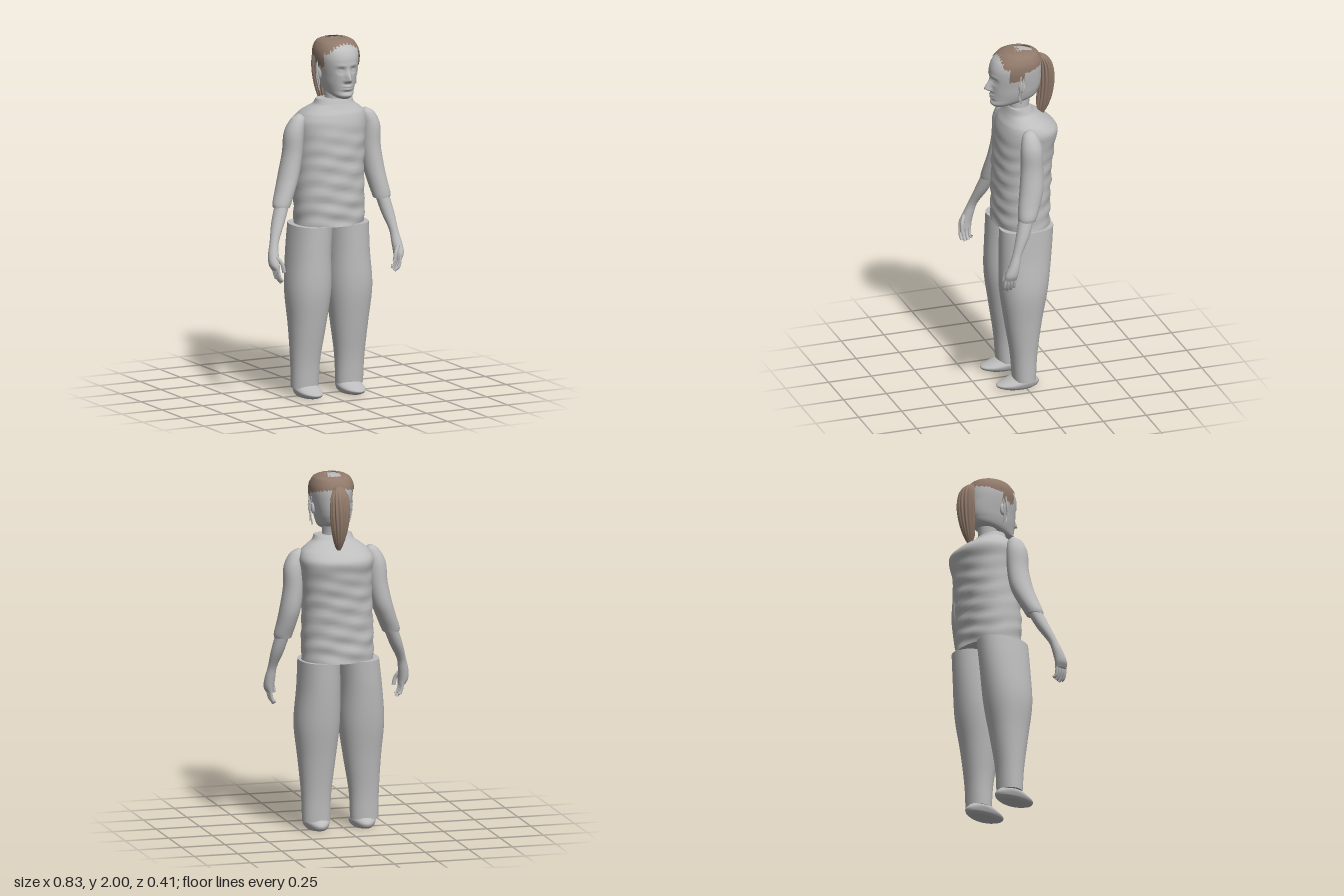
import * as THREE from 'three';

const grey = new THREE.MeshStandardMaterial({ color: 0xbdbdbd, side: THREE.DoubleSide });
grey.name = 'plain grey';
const brown = new THREE.MeshStandardMaterial({ color: 0x917a6b, side: THREE.DoubleSide });
brown.name = 'hair brown';

// Smooth closed body through level rings [y, centreX, halfWidth, zFront, zBack], lowest first.
// n: squareness, warp: moves a vertex, keep: picks the faces by their centre.
function loft(rings, { seg = 32, sub = 5, n = 2, warp, keep } = {}) {
  const mid = new THREE.CatmullRomCurve3(rings.map(r => new THREE.Vector3(r[1], r[0], (r[3] + r[4]) / 2)));
  const size = new THREE.CatmullRomCurve3(rings.map(r => new THREE.Vector3(r[2], r[0], (r[3] - r[4]) / 2)));
  const count = (rings.length - 1) * sub;
  const rows = [[0, 0], [0, 1]];
  for (let i = 0; i <= count; i++) rows.push([i / count, 1]);
  rows.push([1, 1], [1, 0]);
  const pos = [], index = [];
  const power = v => Math.sign(v) * Math.abs(v) ** (2 / n);
  for (const [t, scale] of rows) {
    const c = mid.getPoint(t), s = size.getPoint(t);
    for (let j = 0; j < seg; j++) {
      const a = j / seg * Math.PI * 2;
      const v = new THREE.Vector3(
        c.x + Math.max(s.x, 0) * scale * power(Math.sin(a)), c.y,
        c.z + Math.max(s.z, 0) * scale * power(Math.cos(a)));
      if (warp && scale) warp(v, a, t);
      pos.push(v.x, v.y, v.z);
    }
  }
  const face = (...ids) => {
    const m = [0, 1, 2].map(k => ids.reduce((sum, i) => sum + pos[i * 3 + k], 0) / 3);
    if (!keep || keep(...m)) index.push(...ids);
  };
  for (let i = 0; i < rows.length - 1; i++) {
    for (let j = 0; j < seg; j++) {
      const k = (j + 1) % seg, a = i * seg + j, b = i * seg + k;
      face(a, b, a + seg);
      face(b, b + seg, a + seg);
    }
  }
  const g = new THREE.BufferGeometry();
  g.setAttribute('position', new THREE.Float32BufferAttribute(pos, 3));
  g.setIndex(index);
  g.computeVertexNormals();
  return g;
}

function part(parent, name, geometry, material = grey) {
  const m = new THREE.Mesh(geometry, material);
  m.name = name;
  parent.add(m);
  return m;
}

function tube(points, radius) {
  const curve = new THREE.CatmullRomCurve3(points.map(p => new THREE.Vector3(...p)));
  return new THREE.TubeGeometry(curve, 10, radius, 8);
}

const MID = 0.065; // centre line of head and neck
const bump = (d, s) => Math.exp(-d * d / (s * s));

// Head rings, grown outward by d for the hair
const headRings = d => [
  [1.673, 0.03, 0.15, 0.06], [1.69, 0.057, 0.166, 0], [1.72, 0.077, 0.162, -0.085],
  [1.76, 0.09, 0.164, -0.11], [1.8, 0.098, 0.167, -0.12], [1.85, 0.108, 0.17, -0.122],
  [1.9, 0.114, 0.168, -0.121], [1.94, 0.11, 0.15, -0.113], [1.97, 0.091, 0.115, -0.09],
  [1.986, 0.06, 0.078, -0.05], [1.993, 0.008, 0.022, 0.006],
].map(([y, w, f, b]) => [y + (y > 1.95 ? d * 0.8 : 0), MID, w + d, f + d * 0.4, b - d]);

// Nose, eye sockets, eyes, lips and chin
function faceShape(v) {
  if (v.z < 0.06) return;
  const x = v.x - MID, y = v.y, ax = Math.abs(x);
  v.z += 0.038 * bump(x, 0.014) * bump(y - 1.782, y > 1.782 ? 0.04 : 0.013)
    + 0.008 * bump(ax - 0.016, 0.009) * bump(y - 1.775, 0.01)
    - 0.014 * bump(ax - 0.036, 0.02) * bump(y - 1.835, 0.016)
    + 0.008 * bump(ax - 0.038, 0.012) * bump(y - 1.833, 0.007)
    + 0.004 * bump(ax - 0.035, 0.03) * bump(y - 1.862, 0.009)
    + 0.010 * bump(x, 0.026) * (bump(y - 1.744, 0.007) + bump(y - 1.728, 0.007))
    - 0.005 * bump(x, 0.03) * bump(y - 1.712, 0.008);
}

// Hairline with temples, ragged edge and a bare patch on the crown
function isHair(x, y, z) {
  const jag = 0.006 * Math.sin(x * 310 + z * 90) + 0.004 * Math.sin(z * 420);
  const dx = x - MID;
  if (y > 1.96 && Math.abs(dx) < 0.033 + jag && z > -0.068 + jag && z < 0.018 + jag * 2) return false;
  if (z > 0.122 + jag * 0.6) return false;
  if (z > 0.09) return y > 1.925 + jag;
  if (z > 0.012) return y > 1.85 + jag;
  return y > 1.895 - z * 0.25 + jag * 0.5;
}

function buildHead() {
  const head = new THREE.Group();
  head.name = 'head';
  part(head, 'face', loft(headRings(0), { seg: 96, sub: 8, n: 2.15, warp: faceShape }));
  part(head, 'hair', loft(headRings(0.009), { seg: 96, sub: 8, n: 2.15, keep: isHair }), brown);
  part(head, 'neck', loft([
    [1.58, MID, 0.062, 0.06, -0.06], [1.66, MID, 0.055, 0.06, -0.055], [1.75, MID, 0.058, 0.07, -0.07],
  ]));
  part(head, 'ponytail', loft([
    [1.575, MID, 0.005, -0.122, -0.135], [1.64, MID, 0.028, -0.105, -0.17],
    [1.72, MID, 0.044, -0.108, -0.193], [1.82, MID, 0.053, -0.113, -0.2],
    [1.9, MID, 0.045, -0.115, -0.183], [1.935, MID, 0.028, -0.105, -0.155], [1.955, MID, 0.015, -0.08, -0.115],
  ], {
    seg: 72, sub: 6,
    warp: (v, a, t) => {
      const r = 0.08 * Math.cos(a * 14 + t * 5);
      v.x += (v.x - MID) * r;
      v.z += (v.z + 0.155) * r;
    },
  }), brown);
  for (const s of [-1, 1]) {
    const ear = part(head, 'ear', new THREE.SphereGeometry(1, 16, 12));
    ear.scale.set(0.012, 0.034, 0.02);
    ear.position.set(MID + s * 0.103, 1.805, 0.02);
    ear.rotation.y = s * -0.3;
    // Loose strands beside the cheeks
    part(head, 'strand', tube([[MID + s * 0.117, 1.88, 0.03], [MID + s * 0.124, 1.81, 0.035],
      [MID + s * 0.112, 1.76, 0.038], [MID + s * 0.116, 1.73, 0.035]], 0.005));
    part(head, 'strand', tube([[MID + s * 0.115, 1.87, 0.015], [MID + s * 0.12, 1.79, 0.02],
      [MID + s * 0.105, 1.71, 0.025]], 0.004));
  }
  return head;
}

// Shirt body with soft cloth folds
function buildTorso() {
  return loft([
    [0.955, 0.04, 0.2, 0.138, -0.168], [1.1, 0.04, 0.2, 0.138, -0.17], [1.3, 0.045, 0.195, 0.135, -0.18],
    [1.45, 0.053, 0.2, 0.13, -0.195], [1.53, 0.056, 0.207, 0.122, -0.206], [1.575, 0.06, 0.188, 0.108, -0.165],
    [1.605, 0.06, 0.153, 0.09, -0.12], [1.63, 0.06, 0.118, 0.078, -0.08], [1.66, 0.06, 0.107, 0.066, -0.056],
  ], {
    seg: 72, sub: 9, n: 2.25,
    warp: (v, a) => {
      const f = 0.004 * Math.min(1, Math.max(0, (1.56 - v.y) * 4))
        * (Math.sin(v.y * 75 + 2.2 * Math.sin(a * 2)) + 0.6 * Math.sin(v.y * 43 - a * 5));
      v.x += Math.sin(a) * f * 0.5;
      v.z += Math.cos(a) * f;
    },
  });
}

// side: -1 right, 1 left; xs: centres of sleeve rings, then forearm and hand rings
function buildArm(side, sleeveX, handX) {
  const arm = new THREE.Group();
  arm.name = side < 0 ? 'rightArm' : 'leftArm';
  const place = (rings, xs) => rings.map(([y, ...r], i) => [y, xs[i], ...r]).reverse();
  part(arm, 'sleeve', loft(place([
    [1.582, 0.012, 0.02, -0.01], [1.56, 0.038, 0.045, -0.032], [1.49, 0.054, 0.064, -0.055],
    [1.37, 0.056, 0.066, -0.06], [1.25, 0.058, 0.078, -0.056], [1.17, 0.055, 0.09, -0.035],
    [1.1, 0.052, 0.098, -0.008], [1.08, 0.047, 0.097, 0],
  ], sleeveX)));
  part(arm, 'forearmAndPalm', loft(place([
    [1.12, 0.04, 0.088, 0.002], [1, 0.036, 0.118, 0.042], [0.9, 0.025, 0.145, 0.093],
    [0.84, 0.029, 0.168, 0.107], [0.785, 0.028, 0.192, 0.118], [0.755, 0.02, 0.194, 0.125],
  ], handX), { seg: 24 }));
  // Fingers curl toward the body
  const x = handX[5];
  for (let i = 0; i < 4; i++) {
    const z = 0.185 - i * 0.018, end = 0.685 + [0.012, 0, 0.006, 0.022][i];
    part(arm, 'finger', tube([[x, 0.775, z], [x - side * 0.004, 0.735, z + 0.004],
      [x - side * 0.016, 0.705, z + 0.004], [x - side * 0.028, end, z]], 0.0095));
  }
  part(arm, 'thumb', tube([[x, 0.83, 0.165], [x - side * 0.026, 0.79, 0.185],
    [x - side * 0.036, 0.745, 0.188]], 0.011));
  return arm;
}

function buildLeg(side, xs) {
  const leg = new THREE.Group();
  leg.name = side < 0 ? 'rightLeg' : 'leftLeg';
  part(leg, 'trouserLeg', loft([
    [0.05, 0.078, 0.068, -0.06], [0.2, 0.083, 0.08, -0.068], [0.4, 0.104, 0.112, -0.095],
    [0.6, 0.125, 0.14, -0.13], [0.8, 0.117, 0.14, -0.153], [0.96, 0.112, 0.139, -0.165],
  ].map(([y, ...r], i) => [y, xs[i], ...r]), { seg: 40, n: 2.2 }));
  const x = xs[0] + (side < 0 ? 0.004 : -0.008);
  part(leg, 'shoe', loft([
    [0, x, 0.05, 0.125, -0.06], [0.012, x, 0.062, 0.155, -0.08], [0.026, x, 0.068, 0.16, -0.085],
    [0.042, x, 0.07, 0.12, -0.078], [0.065, x, 0.06, 0.065, -0.055],
  ]));
  return leg;
}

export function createModel() {
  const model = new THREE.Group();
  model.name = 'standingFigure';
  model.add(buildHead());
  part(model, 'shirt', buildTorso());
  model.add(
    buildArm(-1, [-0.155, -0.162, -0.185, -0.196, -0.223, -0.253, -0.282, -0.287],
      [-0.275, -0.325, -0.368, -0.382, -0.386, -0.378]),
    buildArm(1, [0.255, 0.264, 0.284, 0.287, 0.302, 0.317, 0.332, 0.333],
      [0.328, 0.354, 0.373, 0.38, 0.383, 0.378]),
    buildLeg(-1, [-0.12, -0.118, -0.108, -0.102, -0.093, -0.078]),
    buildLeg(1, [0.155, 0.155, 0.152, 0.152, 0.146, 0.145]),
  );
  return model;
}
